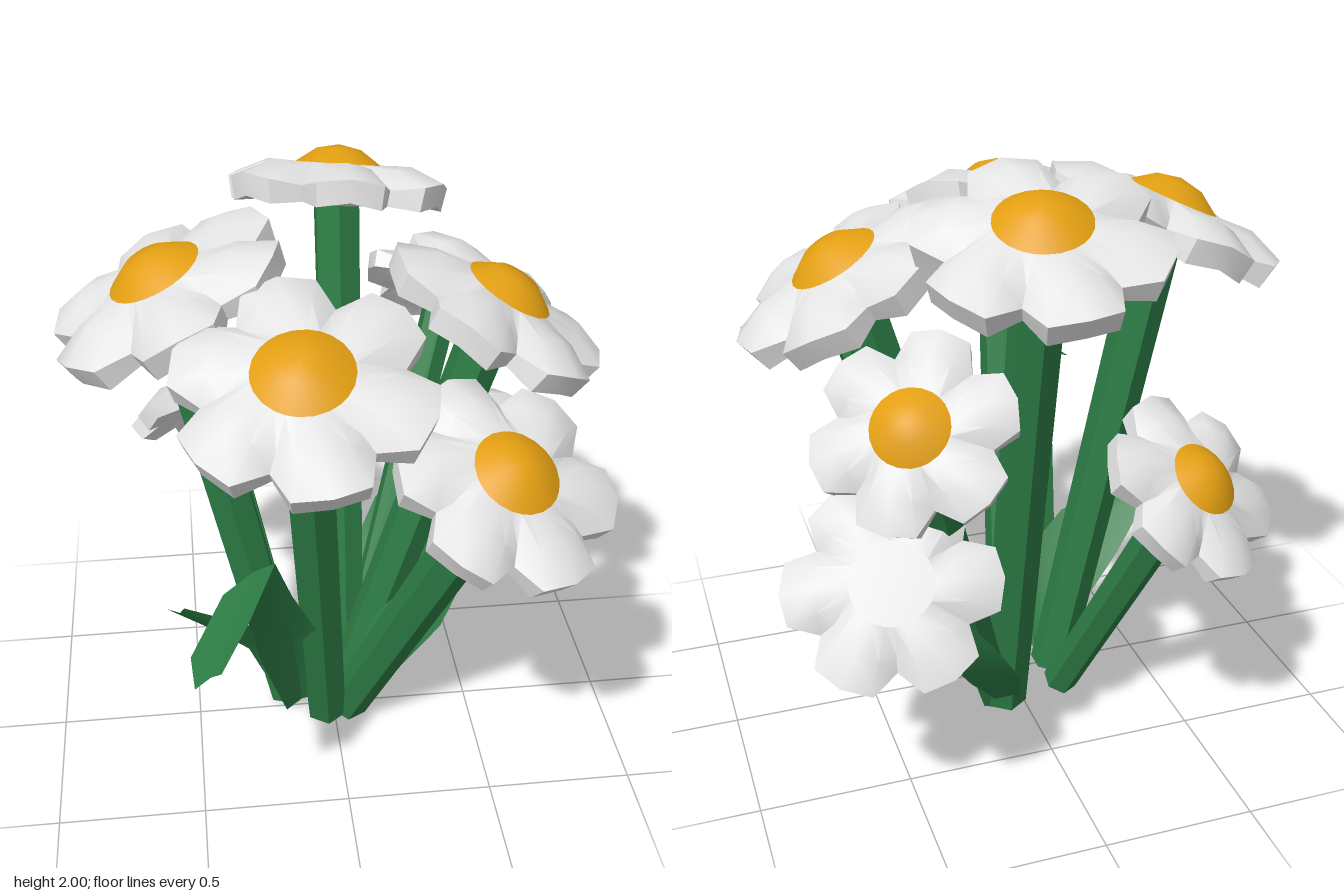
import * as THREE from 'three';
import { toCreasedNormals } from 'three/addons/utils/BufferGeometryUtils.js';

const white = new THREE.MeshStandardMaterial({ color: 0xe4e4e4 });
white.name = 'petal white';
const yellow = new THREE.MeshStandardMaterial({ color: 0xe39f12 });
yellow.name = 'centre yellow';
const green = new THREE.MeshStandardMaterial({ color: 0x2d7c45, side: THREE.DoubleSide });
green.name = 'stem green';

const V = (a) => new THREE.Vector3(...a);

// Surface through rings of equal point count; optional caps at both ends.
function skin(rings, { closed = true, first, last, crease = 0.6 }) {
  const n = rings[0].length;
  const pos = rings.flat(2);
  const index = [];
  const cols = closed ? n : n - 1;
  for (let r = 0; r < rings.length - 1; r++) {
    for (let i = 0; i < cols; i++) {
      const j = (i + 1) % n;
      const a = r * n + i, b = r * n + j, c = (r + 1) * n + i, d = (r + 1) * n + j;
      index.push(a, c, d, a, d, b);
    }
  }
  if (first) {
    const c = pos.length / 3;
    pos.push(...first);
    for (let i = 0; i < n; i++) index.push(c, i, (i + 1) % n);
  }
  if (last) {
    const c = pos.length / 3, o = (rings.length - 1) * n;
    pos.push(...last);
    for (let i = 0; i < n; i++) index.push(c, o + ((i + 1) % n), o + i);
  }
  const g = new THREE.BufferGeometry();
  g.setAttribute('position', new THREE.Float32BufferAttribute(pos, 3));
  g.setIndex(index);
  return toCreasedNormals(g, crease);
}

// One petal spans notch, corner, tip, corner.
const PETALS = 6;
const ANGLES = [-30, -17, 0, 17].map(THREE.MathUtils.degToRad);
const REACH = [0.77, 1.0, 1.02, 1.0];

// Ring of a flower: blend moves from a circle (0) to the petal outline (1).
function petalRing(R, radius, blend, heights) {
  const ring = [];
  for (let p = 0; p < PETALS; p++) {
    ANGLES.forEach((da, k) => {
      const a = (p * Math.PI * 2) / PETALS + da;
      const r = R * radius * (1 + blend * (REACH[k] - 1));
      ring.push([r * Math.sin(a), R * heights[k], r * Math.cos(a)]);
    });
  }
  return ring;
}

function makeFlower({ at, facing, R, spin = 0, bare }) {
  const flower = new THREE.Group();
  flower.name = 'flower';
  const flat = (h) => [h, h, h, h];
  const inner = petalRing(R, 0.39, 0, flat(0.12));
  const petals = new THREE.Mesh(skin([
    inner,
    petalRing(R, 0.7, 0.5, [0.0, 0.09, 0.13, 0.09]),
    petalRing(R, 1, 1, [-0.08, -0.04, 0.0, -0.04]),
    petalRing(R, 0.96, 1, [-0.22, -0.25, -0.2, -0.25]),
    petalRing(R, 0.6, 0.5, [-0.12, -0.17, -0.2, -0.17]),
    petalRing(R, 0.22, 0, flat(-0.25)),
  ], { last: [0, -0.25 * R, 0], crease: 0.7 }), white);
  petals.name = 'petals';
  const centre = new THREE.Mesh(skin([
    petalRing(R, 0.2, 0, flat(bare ? 0.13 : 0.25)), inner,
  ], { first: [0, R * (bare ? 0.13 : 0.29), 0] }), bare ? white : yellow);
  centre.name = 'flowerCentre';
  flower.add(petals, centre);
  flower.position.set(...at);
  flower.quaternion.setFromUnitVectors(new THREE.Vector3(0, 1, 0), V(facing).normalize());
  flower.rotateY(spin);
  return flower;
}

// Straight six-sided stalk between two points.
function makeStem(from, to, radius) {
  const a = V(from), b = V(to);
  const geo = new THREE.CylinderGeometry(radius, radius * 0.9, a.distanceTo(b), 6);
  const stem = new THREE.Mesh(toCreasedNormals(geo, 0.5), green);
  stem.name = 'stem';
  stem.position.copy(a).lerp(b, 0.5);
  stem.quaternion.setFromUnitVectors(new THREE.Vector3(0, 1, 0), b.sub(a).normalize());
  return stem;
}

// Folded blade: path points, half widths, sideways direction and fold depth.
function makeLeaf({ path, widths, side, fold }) {
  const s = V(side).normalize();
  const rings = path.map((p, i) => {
    const c = V(p);
    const f = V(fold).multiplyScalar(widths[i]);
    return [
      c.clone().addScaledVector(s, -widths[i]).toArray(),
      c.clone().add(f).toArray(),
      c.clone().addScaledVector(s, widths[i]).toArray(),
    ];
  });
  const leaf = new THREE.Mesh(skin(rings, { closed: false }), green);
  leaf.name = 'leaf';
  return leaf;
}

const FLOWERS = [
  { at: [0.08, 1.86, -0.57], facing: [0.1, 0.93, -0.34], R: 0.375, root: [0.07, 0.03, -0.2] },
  { at: [-0.53, 1.73, -0.07], facing: [-0.42, 0.9, 0.03], R: 0.4, root: [-0.16, 0.03, -0.05], spin: 0.1 },
  { at: [0.55, 1.63, -0.03], facing: [0.5, 0.87, 0.02], R: 0.385, root: [0.06, 0.03, -0.07], spin: 0.52 },
  { at: [-0.14, 1.68, 0.51], facing: [-0.06, 0.89, 0.4], R: 0.39, root: [-0.03, 0.03, 0.06], spin: 0.1 },
  { at: [0.46, 1.36, 0.59], facing: [0.3, 0.83, 0.45], R: 0.355, root: [0.05, 0.03, 0.04], spin: 0.52 },
  { at: [0.51, 1.38, -0.72], facing: [0.38, 0.65, -0.64], R: 0.3, root: [0.1, 0.03, -0.18], spin: 0.4 },
  { at: [-0.41, 1.03, -0.65], facing: [-0.4, 0.7, -0.58], R: 0.31, root: [-0.15, 0.03, -0.17], spin: 0.4 },
  { at: [0.57, 0.85, -0.65], facing: [0.2, 0.66, -0.7], R: 0.33, root: [0.08, 0.04, -0.15], spin: 0.3,
    bare: true, neck: [0.43, 0.7, -0.52] },
];

const LEAVES = [
  // broad left leaf
  { path: [[-0.16, 0.02, 0], [-0.22, 0.33, 0.06], [-0.36, 0.47, 0.1], [-0.56, 0.6, 0.13]],
    widths: [0.05, 0.14, 0.13, 0.05], side: [0.6, 0.45, 0.6], fold: [0.3, -0.4, 0] },
  // tall front left leaf with a bent tip
  { path: [[-0.13, 0.05, 0.05], [-0.18, 0.5, 0.26], [-0.25, 0.8, 0.42], [-0.32, 1.05, 0.58], [-0.42, 0.97, 0.76], [-0.46, 0.92, 0.88]],
    widths: [0.06, 0.12, 0.09, 0.1, 0.11, 0.05], side: [0.8, 0.6, 0.1], fold: [0.15, 0, -0.35] },
  // front right leaf
  { path: [[0.08, 0.05, 0.02], [0.18, 0.38, 0.12], [0.31, 0.56, 0.15], [0.46, 0.74, 0.12]],
    widths: [0.06, 0.11, 0.1, 0.03], side: [0.35, -0.3, 0.8], fold: [0.25, -0.3, 0] },
  // broad back right leaf
  { path: [[0.08, 0.04, -0.2], [0.22, 0.3, -0.36], [0.34, 0.52, -0.48], [0.42, 0.72, -0.58]],
    widths: [0.07, 0.16, 0.15, 0.04], side: [0.7, 0, 0.7], fold: [0.25, -0.2, -0.35] },
];

export function createModel() {
  const model = new THREE.Group();
  model.name = 'daisyBunch';
  for (const f of FLOWERS) {
    model.add(makeFlower(f));
    const head = V(f.at).addScaledVector(V(f.facing).normalize(), -0.15 * f.R).toArray();
    model.add(makeStem(f.root, f.neck ?? head, f.R > 0.34 ? 0.085 : 0.068));
  }
  for (const l of LEAVES) model.add(makeLeaf(l));
  return model;
}
